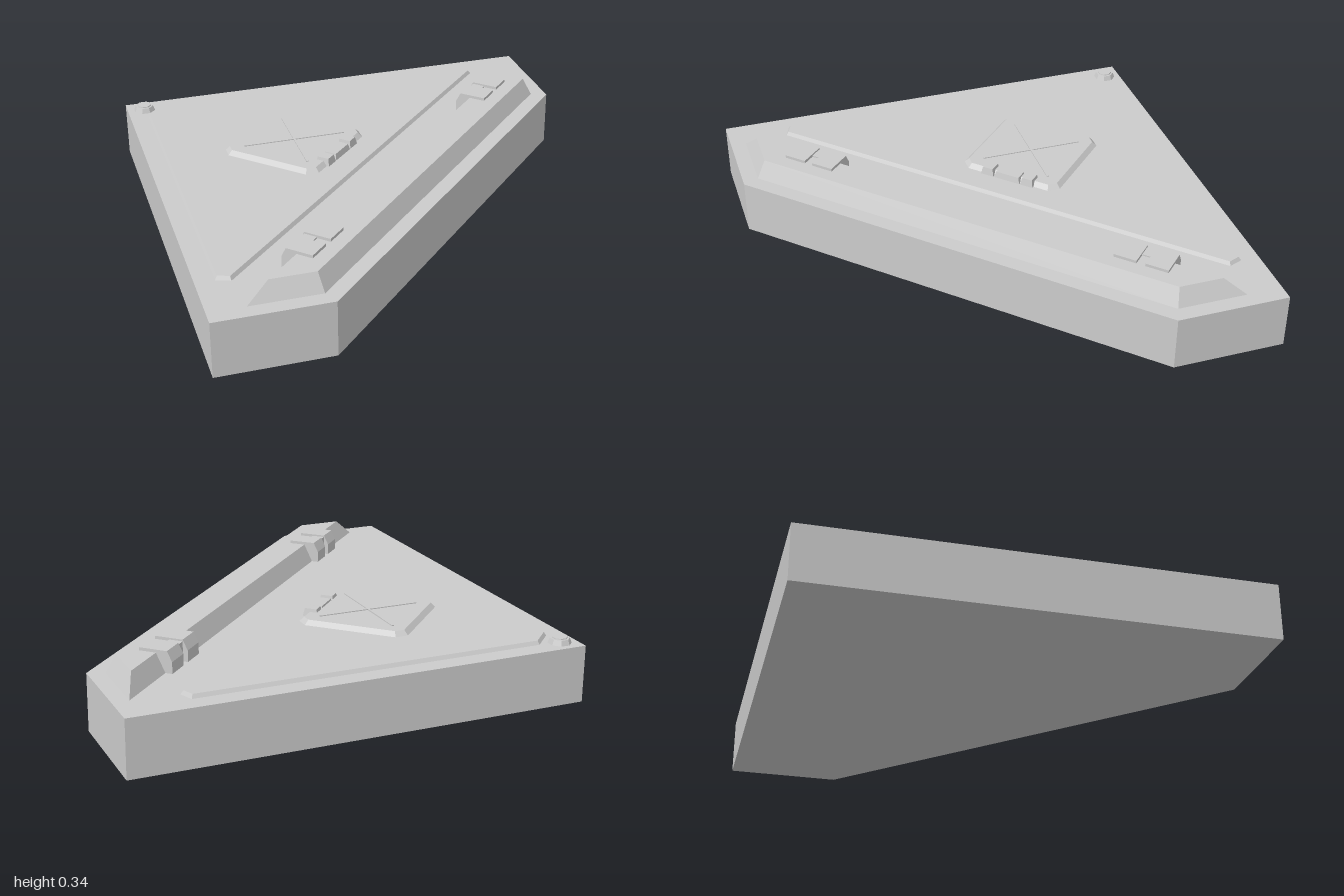
import * as THREE from 'three';
import { ConvexGeometry } from 'three/addons/geometries/ConvexGeometry.js';

const material = new THREE.MeshStandardMaterial({ color: 0xcccccc, flatShading: true });

function add(parent, name, geometry, x = 0, y = 0, z = 0) {
  const mesh = new THREE.Mesh(geometry, material);
  mesh.name = name;
  mesh.position.set(x, y, z);
  parent.add(mesh);
  return mesh;
}

// Moves every edge of an [x, z] outline inwards by d.
function inset(outline, d) {
  const n = outline.length;
  let area = 0;
  const normals = outline.map(([x, z], i) => {
    const [x2, z2] = outline[(i + 1) % n];
    area += x * z2 - x2 * z;
    const len = Math.hypot(x2 - x, z2 - z);
    return [-(z2 - z) / len, (x2 - x) / len];
  });
  const s = Math.sign(area) * d;
  return outline.map(([x, z], i) => {
    const a = normals[(i + n - 1) % n], b = normals[i];
    const k = s / (1 + a[0] * b[0] + a[1] * b[1]);
    return [x + (a[0] + b[0]) * k, z + (a[1] + b[1]) * k];
  });
}

// Convex slab over an [x, z] outline, its sides sloping in by bevel.
function slab(outline, y0, y1, bevel = 0) {
  const top = bevel ? inset(outline, bevel) : outline;
  return new ConvexGeometry([
    ...outline.map(([x, z]) => new THREE.Vector3(x, y0, z)),
    ...top.map(([x, z]) => new THREE.Vector3(x, y1, z)),
  ]);
}

export function createModel() {
  const model = new THREE.Group();
  model.name = 'cornerBlock';

  // Body, raised panel and front ridge
  add(model, 'base', slab([[-1, -1], [1, -1], [1, -0.5], [-0.5, 1], [-1, 1]], 0, 0.25));
  add(model, 'panel', slab([[-0.92, -0.83], [-0.83, -0.92], [0.71, -0.92], [0.735, -0.855],
    [-0.855, 0.735], [-0.92, 0.71]], 0.245, 0.266, 0.013));
  add(model, 'ridge', slab([[0.93, -0.84], [0.93, -0.53], [-0.53, 0.93], [-0.84, 0.93]],
    0.25, 0.33, 0.04));

  // Bolt in the back corner
  const bolt = new THREE.Group();
  bolt.name = 'bolt';
  bolt.position.set(-0.92, 0, -0.925);
  model.add(bolt);
  add(bolt, 'boltCollar', new THREE.CylinderGeometry(0.042, 0.052, 0.025, 8).rotateY(Math.PI / 8), 0, 0.26, 0);
  add(bolt, 'boltHead', new THREE.CylinderGeometry(0.032, 0.034, 0.01, 8).rotateY(Math.PI / 8), 0, 0.272, 0);

  // Diagonal frame: x runs along the ridge, z points out across it
  const diagonal = new THREE.Group();
  diagonal.name = 'diagonalParts';
  diagonal.rotation.y = Math.PI / 4;
  model.add(diagonal);

  // Paired clips folded over the ridge's back edge
  const clipProfile = [[0.033, 0.25], [0.033, 0.3], [0.055, 0.343], [0.178, 0.343], [0.178, 0.25]];
  for (const side of [-1, 1]) {
    const hinge = new THREE.Group();
    hinge.name = side < 0 ? 'rightRidgeHinge' : 'leftRidgeHinge';
    hinge.position.x = side * 0.818;
    diagonal.add(hinge);
    for (const x of [-0.072, 0.072]) {
      add(hinge, 'clip', new ConvexGeometry([-0.052, 0.052].flatMap((w) =>
        clipProfile.map(([z, y]) => new THREE.Vector3(x + w, y, z)))));
    }
    add(hinge, 'clipLink', new THREE.BoxGeometry(0.06, 0.085, 0.06), 0, 0.293, 0.085);
  }

  // Hatch with clipped corners, turned with the diagonal
  const hatch = new THREE.Group();
  hatch.name = 'hatch';
  hatch.position.z = -0.462;
  diagonal.add(hatch);
  const r = 0.25, c = 0.205;
  add(hatch, 'hatchCover', slab([[-r, -c], [-c, -r], [c, -r], [r, -c], [r, c], [c, r], [-c, r], [-r, c]],
    0.26, 0.286, 0.025));
  for (const angle of [Math.PI / 4, -Math.PI / 4]) {
    add(hatch, 'hatchCrossRib', new THREE.BoxGeometry(0.47, 0.006, 0.01), 0, 0.287, 0).rotation.y = angle;
  }

  // Three-knuckle hinge on the hatch's front edge
  for (const [x, length, height] of [[-0.1, 0.065, 0.04], [0, 0.13, 0.034], [0.1, 0.065, 0.04]]) {
    const w = length / 2;
    add(hatch, 'hatchHingeKnuckle', slab([[x - w, -0.035], [x + w, -0.035], [x + w, 0.035], [x - w, 0.035]],
      0.26, 0.26 + height, 0.008), 0, 0, 0.222);
  }
  return model;
}
